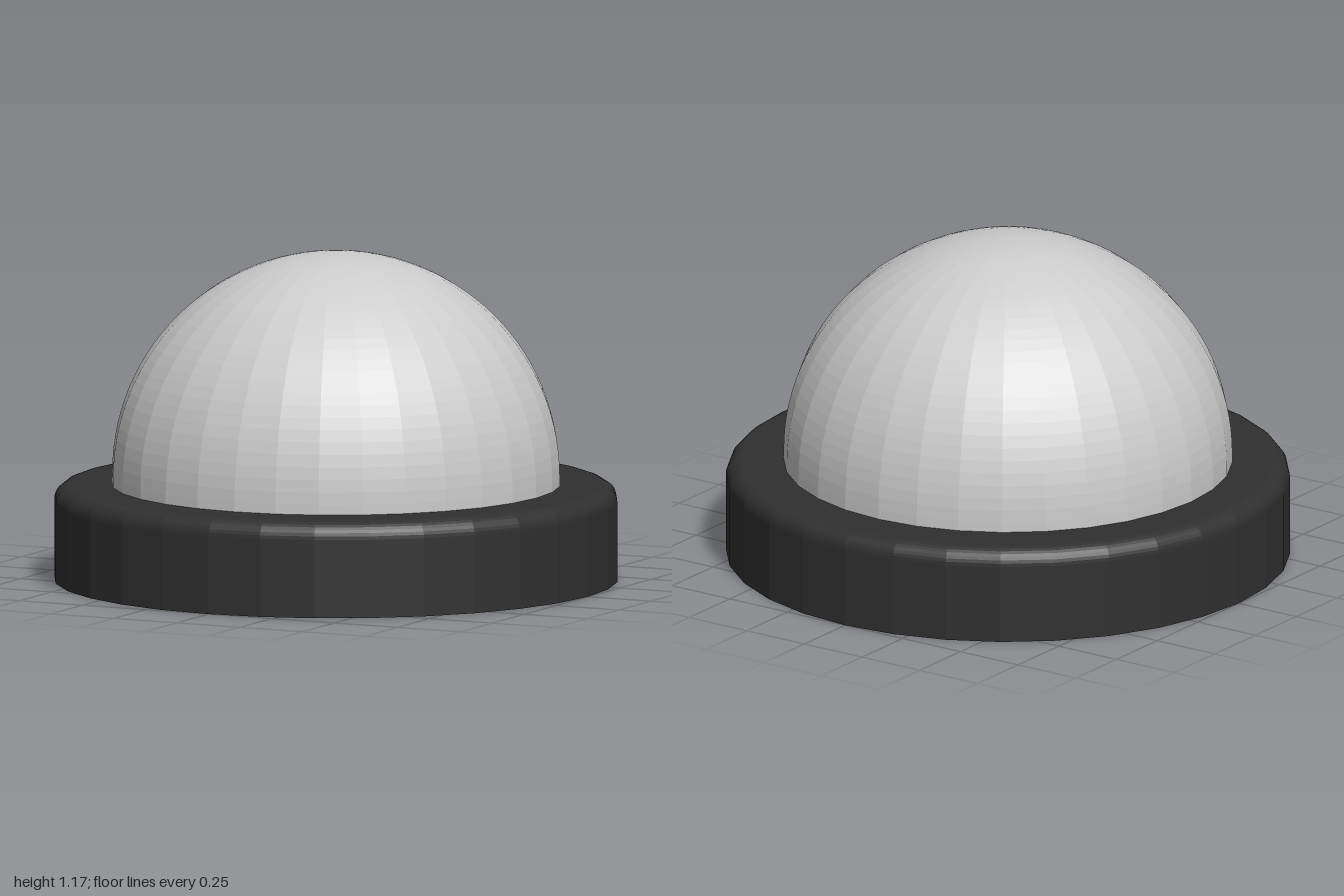
import * as THREE from 'three';

const SIDES = 32;

// Turns a profile of [radius, height] points into a faceted solid
function turned(name, points, color) {
  const profile = points.map(([r, y]) => new THREE.Vector2(r, y));
  const mesh = new THREE.Mesh(
    new THREE.LatheGeometry(profile, SIDES),
    new THREE.MeshStandardMaterial({ color, flatShading: true })
  );
  mesh.name = name;
  return mesh;
}

// Points on a quarter circle, from its outer side up to its top
function quarterArc(cx, cy, r, steps) {
  return Array.from({ length: steps + 1 }, (_, i) => {
    const a = (i / steps) * Math.PI / 2;
    return [i === steps ? cx : cx + r * Math.cos(a), cy + r * Math.sin(a)];
  });
}

export function createModel() {
  const group = new THREE.Group();
  group.name = 'domeLight';

  // Round base with a softened upper rim
  const height = 0.34, fillet = 0.06;
  group.add(turned('base', [
    [0, 0], [1, 0],
    ...quarterArc(1 - fillet, height - fillet, fillet, 8),
    [0, height],
  ], 0x303030));

  // Hemispherical dome on a short straight collar sunk into the base
  const radius = 0.795, domeCentre = 0.375;
  group.add(turned('dome', [
    [radius, height - 0.04],
    ...quarterArc(0, domeCentre, radius, 28),
  ], 0xcccccc));

  return group;
}
